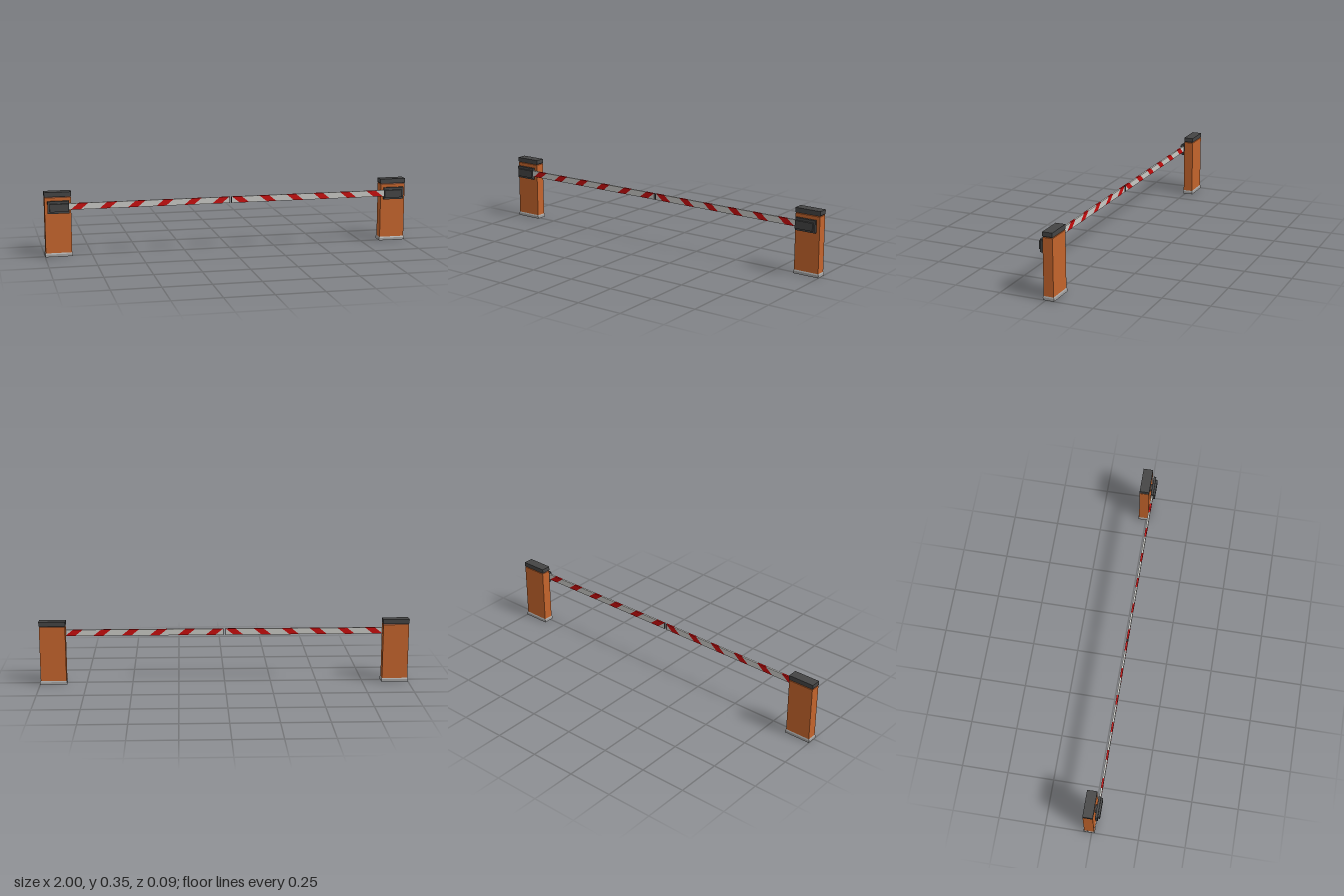
import * as THREE from 'three';

const orange = new THREE.MeshStandardMaterial({ color: 0xc4642c, side: THREE.DoubleSide });
const dark = new THREE.MeshStandardMaterial({ color: 0x444444 });
const grey = new THREE.MeshStandardMaterial({ color: 0xa2a2a2, side: THREE.DoubleSide });
const red = new THREE.MeshStandardMaterial({ color: 0xc80c0c });
const white = new THREE.MeshStandardMaterial({ color: 0xc8c8c4 });
orange.name = 'orange paint';
dark.name = 'dark plastic';
grey.name = 'grey metal';
red.name = 'red stripe';
white.name = 'white stripe';

// Rectangular shell through rings [y, halfX, halfZ]; ends closed on request
function loft(rings, bottom, top) {
  const pos = [];
  const corners = ([y, hx, hz]) => [[hx, y, hz], [hx, y, -hz], [-hx, y, -hz], [-hx, y, hz]];
  const quad = (a, b, c, d) => pos.push(...a, ...b, ...c, ...a, ...c, ...d);
  for (let k = 0; k < rings.length - 1; k++) {
    const lo = corners(rings[k]), hi = corners(rings[k + 1]);
    for (let i = 0; i < 4; i++) {
      const j = (i + 1) % 4;
      quad(lo[i], lo[j], hi[j], hi[i]);
    }
  }
  if (top) quad(...corners(rings[rings.length - 1]));
  if (bottom) quad(...corners(rings[0]).reverse());
  const g = new THREE.BufferGeometry();
  g.setAttribute('position', new THREE.Float32BufferAttribute(pos, 3));
  g.computeVertexNormals();
  return g;
}

function add(group, name, geometry, material, x = 0, y = 0, z = 0) {
  const m = new THREE.Mesh(geometry, material);
  m.name = name;
  m.position.set(x, y, z);
  group.add(m);
  return m;
}

// Slanted section of the arm, from its top and bottom x limits
function armSection(group, side, name, material, top0, top1, bot0, bot1) {
  const yTop = 0.288, yBot = 0.254;
  const pts = [[bot0, yBot], [bot1, yBot], [top1, yTop]];
  if (top0 < top1) pts.push([top0, yTop]);
  // A section starting at a shared corner is a triangle
  const unique = pts.filter((p, i) => i === 0 || p[0] !== pts[i - 1][0] || p[1] !== pts[i - 1][1]);
  const shape = new THREE.Shape(unique.map(([x, y]) => new THREE.Vector2(side * x, y)));
  add(group, name, new THREE.ExtrudeGeometry(shape, { depth: 0.01, bevelEnabled: false }), material, 0, 0, 0.023);
}

function buildPost(side) {
  const post = new THREE.Group();
  post.name = side > 0 ? 'leftPost' : 'rightPost';
  const x = side * 0.927, z = -0.014;
  add(post, 'base', loft([[0, 0.073, 0.03], [0.014, 0.073, 0.03], [0.02, 0.07, 0.0267]]), grey, x, 0, z);
  add(post, 'cabinet', loft([[0.018, 0.0695, 0.0265], [0.318, 0.0695, 0.0265], [0.322, 0.066, 0.0235]], false, true), orange, x, 0, z);
  add(post, 'cap', loft([[0.319, 0.066, 0.0235], [0.325, 0.0715, 0.0265], [0.347, 0.0715, 0.0265]], true, true), dark, x, 0, z);
  // Pivot and arm clamp
  const pivot = add(post, 'pivot', new THREE.CylinderGeometry(0.021, 0.021, 0.013, 20), dark, side * 0.928, 0.269, 0.0165);
  pivot.rotation.x = Math.PI / 2;
  add(post, 'clampPlate', new THREE.BoxGeometry(0.113, 0.066, 0.013), dark, side * 0.926, 0.269, 0.0275);
  add(post, 'clampCover', new THREE.BoxGeometry(0.1, 0.042, 0.024), dark, side * 0.922, 0.268, 0.032);
  return post;
}

function buildArm(side) {
  const arm = new THREE.Group();
  arm.name = side > 0 ? 'leftArm' : 'rightArm';
  const start = 0.008, end = 0.875, pitch = 0.152, width = 0.053, slant = 0.042;
  let top = start, bottom = start;
  for (let i = 0; i < 6; i++) {
    const t = start + pitch * i, b = t + slant;
    armSection(arm, side, 'whiteSection', white, top, t, bottom, b);
    armSection(arm, side, 'redSection', red, t, t + width, b, b + width);
    top = t + width;
    bottom = b + width;
  }
  armSection(arm, side, 'whiteSection', white, top, end, bottom, end);
  add(arm, 'armTip', new THREE.BoxGeometry(0.003, 0.034, 0.011), dark, side * 0.0065, 0.271, 0.028);
  return arm;
}

export function createModel() {
  const model = new THREE.Group();
  model.name = 'barrierGate';
  for (const side of [-1, 1]) model.add(buildPost(side), buildArm(side));
  return model;
}
